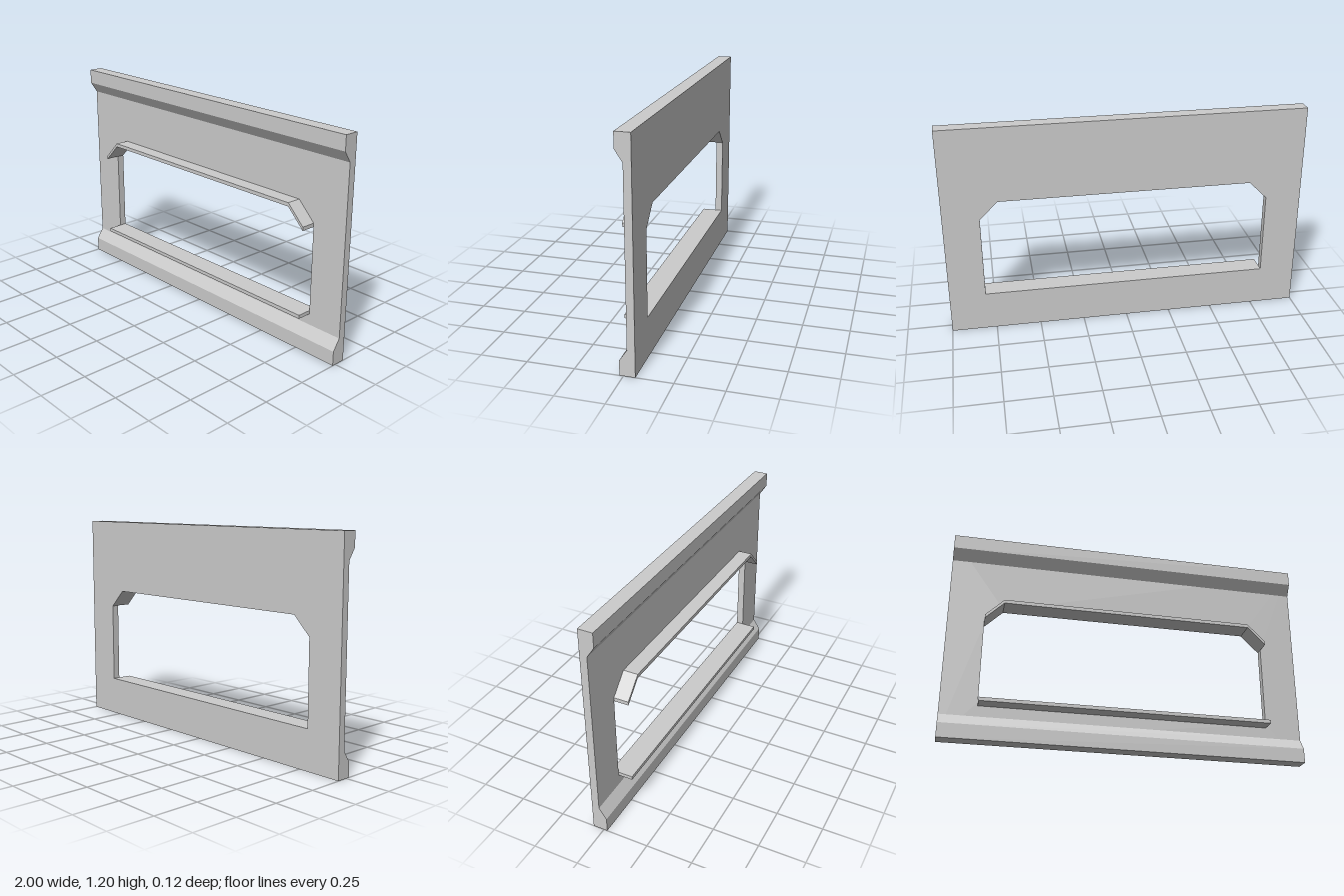
import * as THREE from 'three';

const WIDTH = 2, HEIGHT = 1.2;
const BACK = -0.06, FACE = -0.02, RAIL_FRONT = 0.02, TRIM_FRONT = 0.06;
const LIP = 0.02; // thickness of hood and sill

const shapeOf = (points) => new THREE.Shape(points.map(([x, y]) => new THREE.Vector2(x, y)));

export function createModel() {
  const group = new THREE.Group();
  const material = new THREE.MeshStandardMaterial({ color: 0xcccccc, flatShading: true });

  const add = (name, geometry) => {
    const mesh = new THREE.Mesh(geometry, material);
    mesh.name = name;
    group.add(mesh);
  };

  // Extrudes an x-y outline between two depths
  const slab = (shape, z0, z1) =>
    new THREE.ExtrudeGeometry(shape, { depth: z1 - z0, bevelEnabled: false }).translate(0, 0, z0);

  // Wall panel with a window opening whose upper corners are cut
  const wall = shapeOf([[-1, 0], [1, 0], [1, HEIGHT], [-1, HEIGHT]]);
  wall.holes.push(shapeOf([
    [-0.8, 0.2 + LIP], [-0.8, 0.7 - LIP], [-0.7, 0.8 - LIP],
    [0.7, 0.8 - LIP], [0.8, 0.7 - LIP], [0.8, 0.2 + LIP],
  ]));
  add('wallPanel', slab(wall, BACK, FACE));

  // Sloped rails along the bottom and top, drawn as (z, y) and run along x
  const rail = (name, place) => {
    const profile = [[FACE, 0], [RAIL_FRONT, 0], [RAIL_FRONT, 0.08], [FACE, 0.14]];
    const shape = shapeOf(profile.map(([z, y]) => [-z, place(y)]));
    add(name, new THREE.ExtrudeGeometry(shape, { depth: WIDTH, bevelEnabled: false })
      .translate(0, 0, -WIDTH / 2)
      .rotateY(Math.PI / 2));
  };
  rail('bottomRail', (y) => y);
  rail('topRail', (y) => HEIGHT - y);

  // Window hood: a thin bent strip following the top of the opening
  const hoodTop = [[-0.8, 0.7], [-0.7, 0.8], [0.7, 0.8], [0.8, 0.7]];
  const hoodUnder = hoodTop.map(([x, y]) => [x, y - LIP]).reverse();
  add('windowHood', slab(shapeOf([...hoodTop, ...hoodUnder]), FACE, TRIM_FRONT));

  // Window sill
  add('windowSill', new THREE.BoxGeometry(1.6, LIP, TRIM_FRONT - FACE)
    .translate(0, 0.2 + LIP / 2, (TRIM_FRONT + FACE) / 2));

  return group;
}
